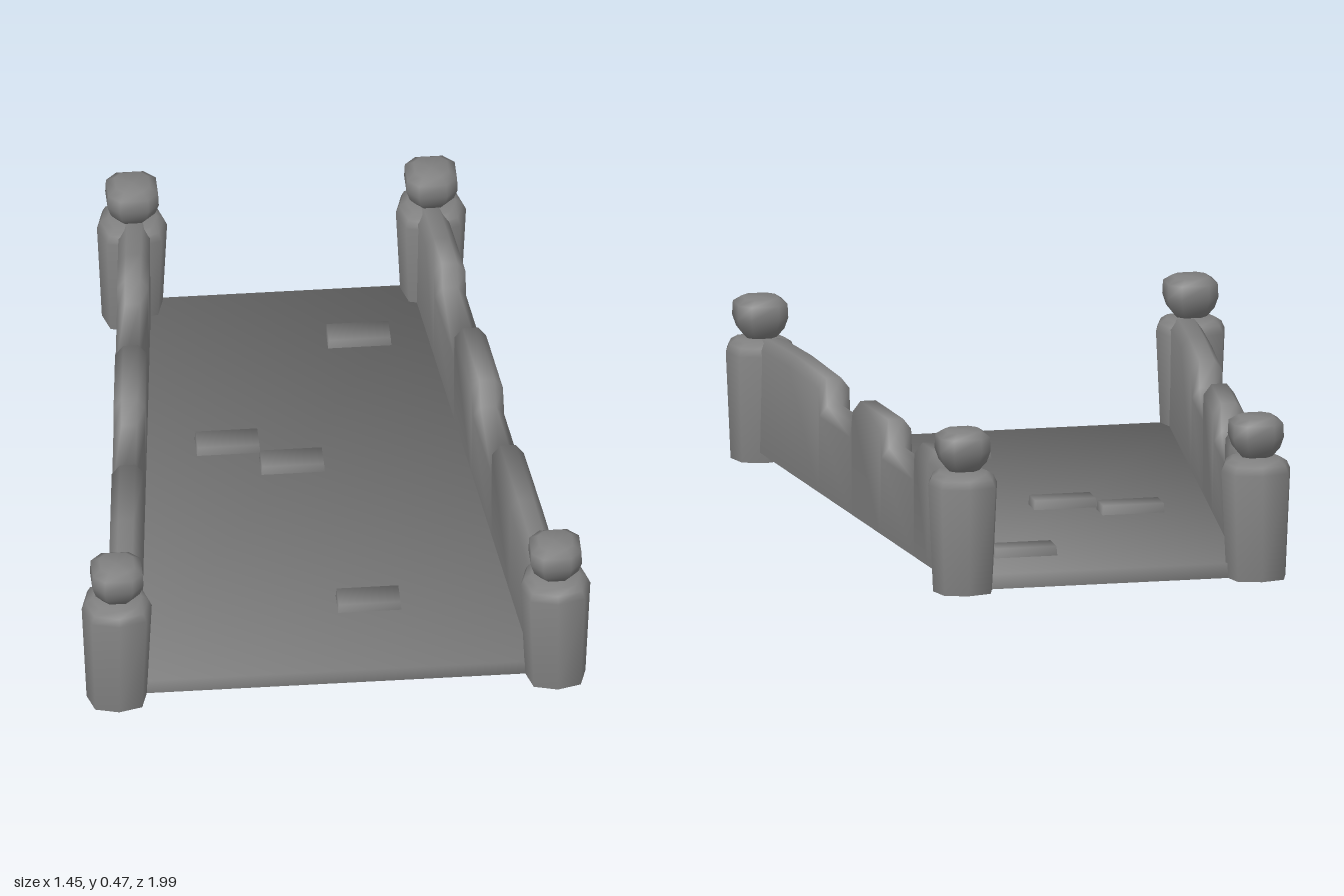
import * as THREE from 'three';

const material = new THREE.MeshStandardMaterial({ color: 0x808080, side: THREE.DoubleSide });

function part(name, geometry, x = 0, y = 0, z = 0) {
  const mesh = new THREE.Mesh(geometry, material);
  mesh.name = name;
  mesh.position.set(x, y, z);
  return mesh;
}

// Indexed geometry with fully smooth normals, each face weighted by its corner angle
function smoothGeometry(points, index) {
  const normals = points.map(() => new THREE.Vector3());
  for (let f = 0; f < index.length; f += 3) {
    for (let k = 0; k < 3; k++) {
      const [a, b, c] = [0, 1, 2].map((n) => index[f + ((k + n) % 3)]);
      const u = points[b].clone().sub(points[a]);
      const v = points[c].clone().sub(points[a]);
      const normal = u.clone().cross(v);
      if (normal.length() > 1e-9) normals[a].addScaledVector(normal.normalize(), u.angleTo(v));
    }
  }
  const g = new THREE.BufferGeometry().setFromPoints(points);
  const flat = normals.flatMap((n) => n.normalize().toArray());
  g.setAttribute('normal', new THREE.Float32BufferAttribute(flat, 3));
  g.setIndex(index);
  return g;
}

// Skin over a list of cross-sections, each a list of points
function loft(rings, closed) {
  const n = rings[0].length, index = [];
  for (let i = 0; i < rings.length - 1; i++) {
    for (let j = 0; j < (closed ? n : n - 1); j++) {
      const a = i * n + j, b = i * n + ((j + 1) % n);
      index.push(a, a + n, b, b, a + n, b + n);
    }
  }
  return smoothGeometry(rings.flat(), index);
}

// Open-bottomed slab; corners are [x, z] going clockwise from front left
function slab(bottom, top, y0, y1) {
  const points = [
    ...bottom.map(([x, z]) => new THREE.Vector3(x, y0, z)),
    ...top.map(([x, z]) => new THREE.Vector3(x, y1, z)),
  ];
  const index = [4, 5, 7, 5, 6, 7];
  for (let i = 0; i < 4; i++) {
    const j = (i + 1) % 4;
    index.push(i, j, 4 + j, i, 4 + j, 4 + i);
  }
  return smoothGeometry(points, index);
}

const rect = (w, d) => [[w, d], [w, -d], [-w, -d], [-w, d]];

// Battlement wall: chamfered cross-section swept along z, leaning outwards to the front
function wall(side) {
  const stations = [
    [-0.89, 0.345], [-0.82, 0.355], [-0.7, 0.36], [-0.58, 0.36], [-0.57, 0.28], [-0.28, 0.28],
    [-0.27, 0.36], [-0.02, 0.36], [0, 0.28], [0.28, 0.28], [0.29, 0.358],
    [0.56, 0.365], [0.82, 0.358], [0.88, 0.345],
  ];
  return loft(stations.map(([z, h]) => {
    const cx = side * (0.512 + 0.104 * z);
    return [[-0.047, 0.03], [-0.045, h - 0.03], [-0.022, h], [0.022, h], [0.045, h - 0.03], [0.047, 0.03]]
      .map(([x, y]) => new THREE.Vector3(cx + x, y, z));
  }), false);
}

// Stack of scaled footprints from [radius, y] points
function stack(profile, footprint) {
  return loft(profile.map(([r, y]) => footprint.map(([x, z]) => new THREE.Vector3(x * r, y, z * r))), true);
}

// Repeats the first points of a footprint in all four quarters
function fourfold(quarter) {
  return [0, 1, 2, 3].flatMap((q) => quarter.map(([x, z]) => {
    for (let i = 0; i < q; i++) [x, z] = [-z, x];
    return [x, z];
  }));
}

export function createModel() {
  const group = new THREE.Group();

  // Tapered deck
  const plan = [[0.61, 0.895], [0.42, -0.91], [-0.42, -0.91], [-0.61, 0.895]];
  group.add(part('deck', slab(plan, plan, 0, 0.043)));

  // Raised paving stones
  [[0.2, -0.67], [-0.215, -0.195], [-0.04, -0.09], [0.12, 0.58]].forEach(([x, z]) =>
    group.add(part('pavingStone', slab(rect(0.092, 0.042), rect(0.088, 0.039), 0.022, 0.07), x, 0, z)));

  // Flared posts, open underneath, with rounded square knobs
  const postGeometry = stack(
    [[0.086, 0], [0.1, 0.31], [0.09, 0.332], [0.07, 0.345], [0, 0.347]],
    fourfold([[1, 0], [0.78, 0.78]]));
  const knobGeometry = stack(
    [[0, 0.343], [0.043, 0.352], [0.063, 0.378], [0.073, 0.41], [0.071, 0.45], [0.048, 0.466], [0, 0.467]],
    fourfold([[1, -0.55], [1, 0.55]]));

  for (const side of [1, -1]) {
    group.add(part(side > 0 ? 'leftWall' : 'rightWall', wall(side)));
    for (const [x, z] of [[0.625, 0.893], [0.426, -0.899]]) {
      const post = new THREE.Group();
      post.name = z > 0 ? 'frontPost' : 'backPost';
      post.position.set(side * x, 0, z);
      post.add(part('postBody', postGeometry), part('postKnob', knobGeometry));
      group.add(post);
    }
  }
  return group;
}
